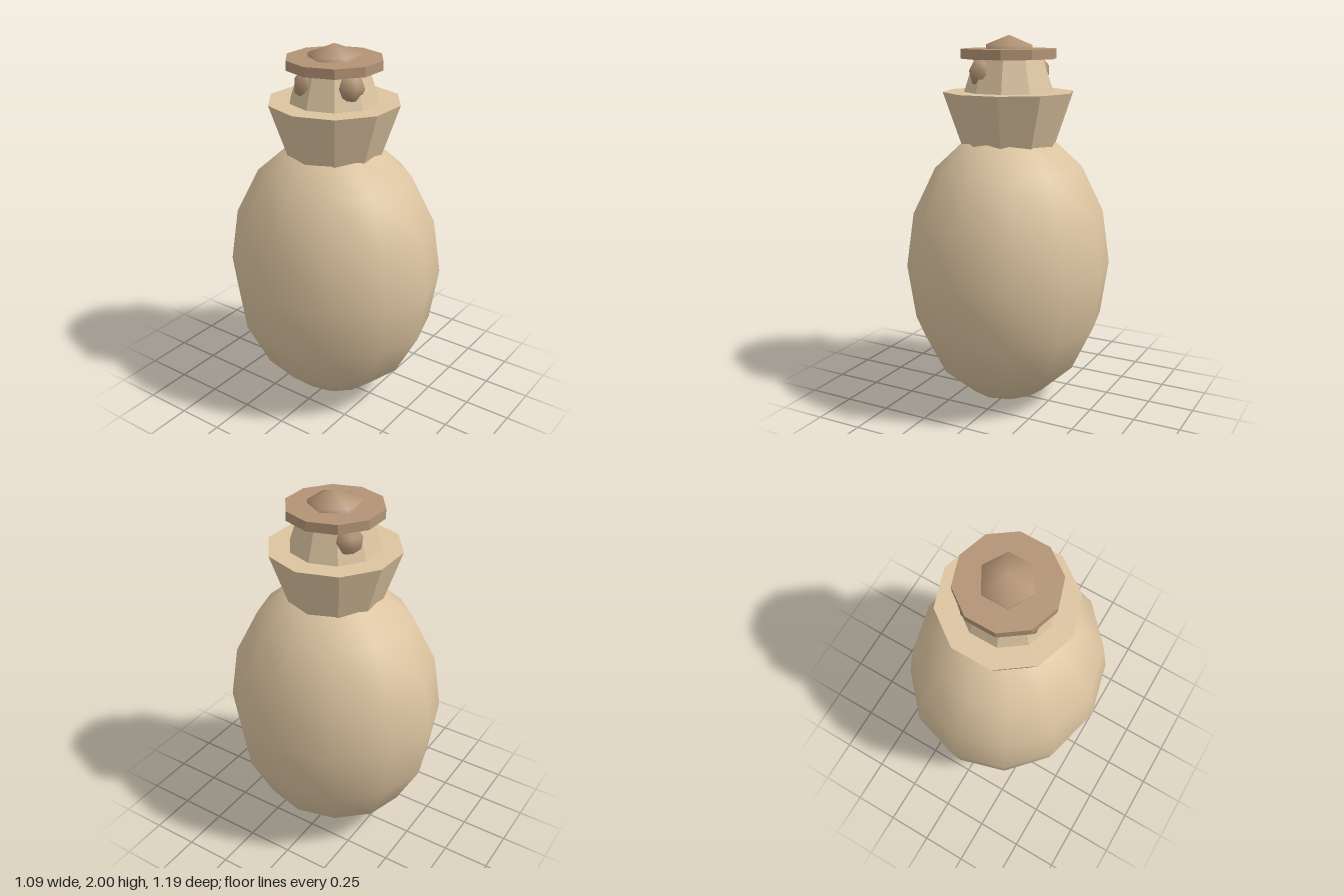
import * as THREE from 'three';

const paleTan = new THREE.MeshStandardMaterial({ color: 0xdcc4a0 });
paleTan.name = 'paleTan';
const brown = new THREE.MeshStandardMaterial({ color: 0xb39475 });
brown.name = 'brown';

export function createModel() {
  const group = new THREE.Group();
  group.name = 'jar';

  const add = (name, geometry, material, x, y, z) => {
    const mesh = new THREE.Mesh(geometry, material);
    mesh.name = name;
    mesh.position.set(x, y, z);
    group.add(mesh);
    return mesh;
  };

  // Faceted ten-sided ring with a corner on the x axis
  const drum = (name, rTop, rBottom, y0, y1, material) => {
    const geometry = new THREE.CylinderGeometry(rTop, rBottom, y1 - y0, 10)
      .rotateY(Math.PI / 2).toNonIndexed();
    geometry.computeVertexNormals();
    return add(name, geometry, material, 0, (y0 + y1) / 2, 0);
  };

  // Egg-shaped body, smooth but with few sides
  add('body', new THREE.SphereGeometry(1, 12, 8), paleTan, 0, 0.768, 0)
    .scale.set(0.546, 0.765, 0.593);

  // Flared collar, tapered neck and flat lid
  drum('collar', 0.348, 0.245, 1.41, 1.71, paleTan);
  drum('neck', 0.178, 0.24, 1.70, 1.89, paleTan);
  drum('lid', 0.253, 0.253, 1.88, 1.93, brown);

  // Low six-sided knob on the lid
  add('knob', new THREE.SphereGeometry(1, 6, 3), brown, 0, 1.9, 0)
    .scale.set(0.157, 0.1, 0.157);

  // Small lumps set into the neck
  [[118, 0.165], [204, 0.155], [306, 0.165]].forEach(([degrees, radius], i) => {
    const a = THREE.MathUtils.degToRad(degrees);
    const lump = add('neckLump' + (i + 1), new THREE.SphereGeometry(0.078, 6, 4), brown,
      Math.cos(a) * radius, 1.81, Math.sin(a) * radius);
    lump.rotation.set(0.2, -a, 0.25);
  });

  return group;
}
